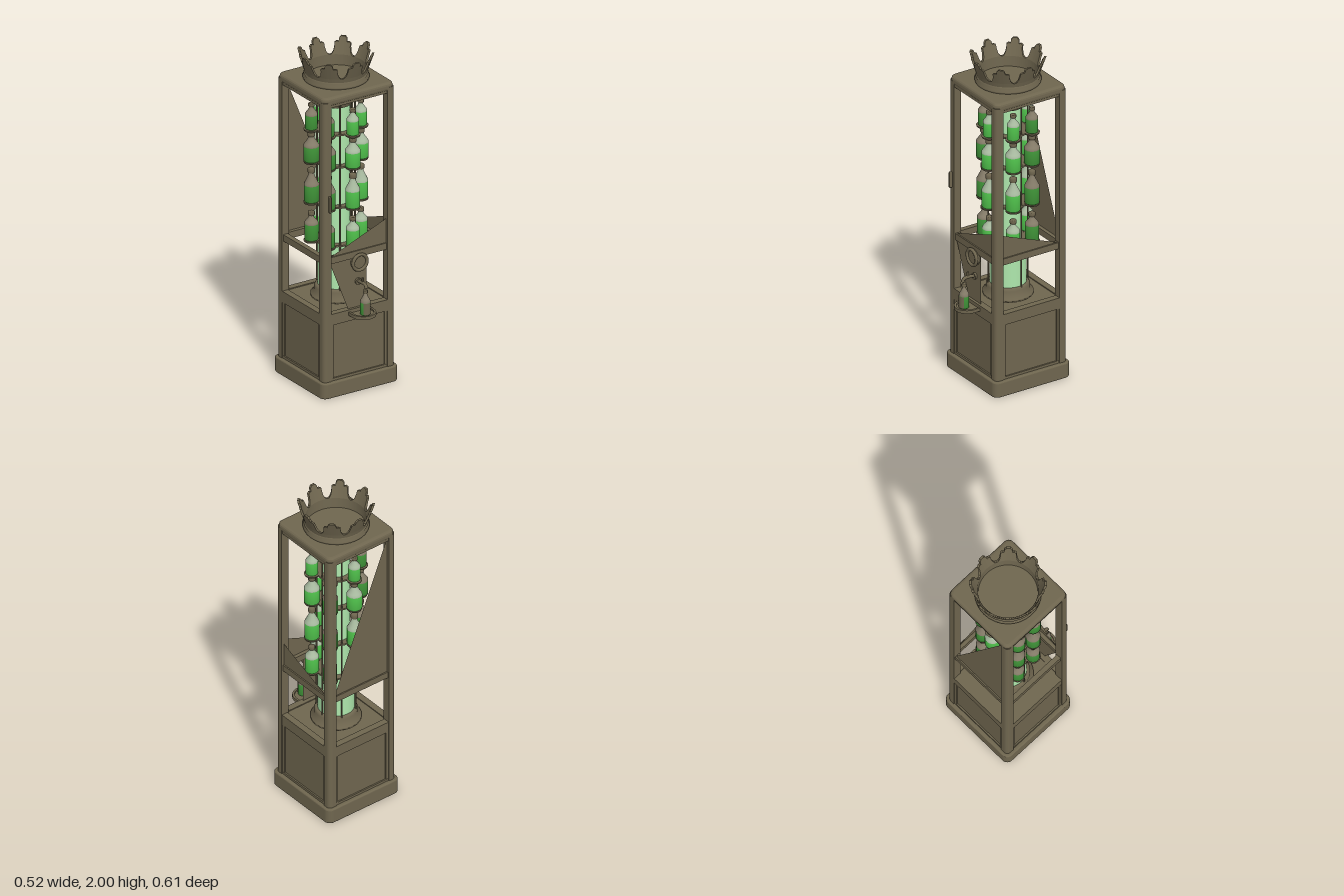
import * as THREE from 'three';
import { RoundedBoxGeometry } from 'three/addons/geometries/RoundedBoxGeometry.js';

const mat = (name, color, side = THREE.FrontSide) => {
  const m = new THREE.MeshStandardMaterial({ color, side });
  m.name = name;
  return m;
};

export function createModel() {
  const bronze = mat('dark bronze', 0x6f664f, THREE.DoubleSide);
  const glow = mat('pale green glass', 0xb2ecb0, THREE.DoubleSide);
  const brightLiquid = mat('bright green liquid', 0x4ab446);
  const darkLiquid = mat('deep green liquid', 0x3b8a34);
  const paleGlass = mat('pale bottle glass', 0xa9bba0, THREE.DoubleSide);
  const brownGlass = mat('brown grey glass', 0x857c69, THREE.DoubleSide);

  const root = new THREE.Group();
  const cabinet = new THREE.Group();
  cabinet.name = 'cabinet';
  cabinet.position.z = -0.048;
  root.add(cabinet);

  const add = (name, geo, material, x = 0, y = 0, z = 0, parent = cabinet) => {
    const m = new THREE.Mesh(geo, material);
    m.name = name;
    m.position.set(x, y, z);
    parent.add(m);
    return m;
  };
  const box = (w, h, d) => new THREE.BoxGeometry(w, h, d);
  const lathe = (pts, seg = 24) => new THREE.LatheGeometry(pts.map(p => new THREE.Vector2(...p)), seg);

  // Square slab with rounded corners, extruded upwards from y = 0
  const slab = (half, r, h, bevel) => {
    const s = new THREE.Shape(), c = half - bevel - r;
    s.absarc(c, c, r, 0, Math.PI / 2);
    s.absarc(-c, c, r, Math.PI / 2, Math.PI);
    s.absarc(-c, -c, r, Math.PI, Math.PI * 1.5);
    s.absarc(c, -c, r, Math.PI * 1.5, Math.PI * 2);
    const g = new THREE.ExtrudeGeometry(s, {
      depth: h - 2 * bevel, bevelThickness: bevel, bevelSize: bevel, bevelSegments: 3, curveSegments: 6,
    });
    return g.rotateX(-Math.PI / 2).translate(0, bevel, 0);
  };

  // Plinth, body core and roof
  add('plinth', slab(0.258, 0.03, 0.095, 0.008), bronze);
  add('bodyCore', box(0.452, 0.41, 0.452), bronze, 0, 0.295, 0);
  add('roof', slab(0.24, 0.02, 0.052, 0.018), bronze, 0, 1.785, 0);

  // Corner posts with a rounded outer edge
  const post = new THREE.Shape();
  post.moveTo(0.19, 0.19);
  post.lineTo(0.24, 0.19);
  post.lineTo(0.24, 0.215);
  post.absarc(0.215, 0.215, 0.025, 0, Math.PI / 2);
  post.lineTo(0.19, 0.24);
  post.closePath();
  const postGeo = new THREE.ExtrudeGeometry(post, { depth: 1.72, bevelEnabled: false, curveSegments: 6 })
    .rotateX(-Math.PI / 2);

  // Each side carries a post, rails and a panel border
  for (let i = 0; i < 4; i++) {
    const side = new THREE.Group();
    side.name = 'frameSide';
    side.rotation.y = i * Math.PI / 2;
    cabinet.add(side);
    add('post', postGeo, bronze, 0, 0.09, 0, side);
    add('bodyRail', box(0.38, 0.068, 0.04), bronze, 0, 0.472, 0.218, side);
    add('middleRail', box(0.4, 0.04, 0.03), bronze, 0, 0.832, 0.215, side);
    add('topRail', box(0.4, 0.02, 0.04), bronze, 0, 1.785, 0.215, side);
    add('lowerRail', box(0.38, 0.02, 0.03), bronze, 0, 0.1, 0.22, side);
    for (const s of [-1, 1])
      add('panelEdge', box(0.018, 0.35, 0.02), bronze, s * 0.183, 0.27, 0.224, side);
  }

  // Flat panes that partly fill the window openings
  const pane = (name, pts) => {
    const g = new THREE.ShapeGeometry(new THREE.Shape(pts.map(p => new THREE.Vector2(...p))));
    return add(name, g, bronze);
  };
  pane('frontPane', [[-0.19, 0.85], [0.19, 0.85], [0.19, 1.0]]).position.z = 0.222;
  pane('frontLowerPane', [[-0.19, 0.815], [-0.065, 0.5], [0.06, 0.5], [0.06, 0.815]]).position.z = 0.222;
  pane('backPane', [[-0.19, 0.85], [0.19, 0.85], [-0.19, 1.785]]).position.z = -0.222;
  const sidePane = pane('sidePane', [[-0.2, 0.85], [0.19, 0.85], [-0.2, 1.0]]);
  sidePane.rotation.y = Math.PI / 2;
  sidePane.position.x = 0.222;

  // Glowing column, wider below the middle rail, with collars and rods
  add('upperColumn', new THREE.CylinderGeometry(0.08, 0.08, 0.85, 32, 1, true), glow, 0, 1.265, 0);
  add('lowerColumn', new THREE.CylinderGeometry(0.105, 0.105, 0.28, 32, 1, true), glow, 0, 0.705, 0);
  add('columnFoot', lathe([[0, 0.5], [0.145, 0.5], [0.145, 0.515], [0.125, 0.53], [0.125, 0.56],
    [0.115, 0.575], [0.09, 0.575]]), bronze);
  add('columnHead', lathe([[0.07, 1.68], [0.088, 1.68], [0.088, 1.735], [0.118, 1.737], [0.122, 1.752],
    [0.138, 1.765], [0.145, 1.786]]), bronze);
  const rodGeo = new THREE.CylinderGeometry(0.005, 0.005, 1.2, 8);
  for (let i = 0; i < 6; i++) {
    const a = (38 + i * 60) * Math.PI / 180;
    add('columnRod', rodGeo, bronze, 0.113 * Math.sin(a), 1.145, 0.113 * Math.cos(a));
  }

  // Bottle: liquid below, glass shoulder and neck above, stopper on top
  const makeBottle = (r, h, fill, shoulder, liquid, glass) => {
    const n = r * 0.36, level = h * fill, sh = h * shoulder;
    const b = new THREE.Group();
    b.name = 'bottle';
    add('bottleLiquid', lathe([[0, 0], [r * 0.9, 0], [r, r * 0.12], [r, level], [0, level]], 16), liquid, 0, 0, 0, b);
    add('bottleGlass', lathe([[r, level], [r, sh], [r * 0.85, sh + h * 0.06], [n * 1.15, h * 0.78], [n, h * 0.88]], 16),
      glass, 0, 0, 0, b);
    add('bottleStopper', lathe([[n, h * 0.86], [n * 1.35, h * 0.87], [n * 1.35, h * 0.98], [n, h], [0, h]], 12),
      bronze, 0, 0, 0, b);
    return b;
  };

  // Four tiers of six bottles on small round shelves; some bottles are of paler glass
  const tiers = [
    [0.85, 0.04, 0.175, 0.56, 0.6],
    [1.085, 0.043, 0.205, 0.5, 0.53],
    [1.333, 0.045, 0.178, 0.52, 0.56],
    [1.532, 0.036, 0.158, 0.54, 0.58],
  ];
  const isPale = [true, true, false, true, false, false];
  for (const [y, r, h, fill, shoulder] of tiers) {
    const tier = new THREE.Group();
    tier.name = 'bottleTier';
    tier.position.y = y;
    cabinet.add(tier);
    add('tierCollar', new THREE.CylinderGeometry(0.118, 0.118, 0.01, 24), bronze, 0, -0.006, 0, tier);
    isPale.forEach((pale, i) => {
      const a = (8 + i * 60) * Math.PI / 180, x = 0.142 * Math.sin(a), z = 0.142 * Math.cos(a);
      add('bottleShelf', new THREE.CylinderGeometry(0.045, 0.042, 0.01, 16), bronze, x, -0.005, z, tier);
      const b = makeBottle(r, h, fill, shoulder, pale ? brightLiquid : darkLiquid, pale ? paleGlass : brownGlass);
      b.position.set(x, 0, z);
      tier.add(b);
    });
  }

  // Crown foot and flared band with eight stepped points
  add('crownFoot', lathe([[0.172, 1.83], [0.186, 1.835], [0.19, 1.848], [0.18, 1.858], [0.184, 1.868],
    [0.175, 1.88]], 32), bronze);
  const outline = [[-0.5, 1.9], [-0.42, 1.904], [-0.35, 1.92], [-0.31, 1.945], [-0.3, 1.965], [-0.22, 1.972],
    [-0.16, 1.968], [-0.14, 1.988], [-0.07, 2.0]];
  const profile = [...outline, ...outline.slice(1).reverse().map(([t, y]) => [-t, y])];
  const columns = [];
  for (let i = 0; i < 8; i++)
    for (const [t, top] of profile) {
      const a = (i + t) * Math.PI / 4;
      const at = (y, inset) => {
        const r = 0.174 + Math.max(0, y - 1.87) * 0.35 - inset;
        return [r * Math.sin(a), y, r * Math.cos(a)];
      };
      columns.push([at(1.86, 0), at(1.9, 0), at(top, 0), at(top, 0.013), at(1.9, 0.013), at(1.835, 0.006)]);
    }
  const verts = [];
  columns.forEach((c, j) => {
    const d = columns[(j + 1) % columns.length];
    for (let k = 0; k < 5; k++)
      verts.push(...c[k], ...d[k], ...d[k + 1], ...c[k], ...d[k + 1], ...c[k + 1]);
  });
  const crownGeo = new THREE.BufferGeometry();
  crownGeo.setAttribute('position', new THREE.Float32BufferAttribute(verts, 3));
  crownGeo.computeVertexNormals();
  add('crownBand', crownGeo, bronze);

  // Round medallion above the tap
  add('medallion', new THREE.CylinderGeometry(0.045, 0.05, 0.02, 24).rotateX(Math.PI / 2), bronze, 0, 0.785, 0.185, root);
  add('medallionRim', new THREE.TorusGeometry(0.047, 0.01, 8, 24), bronze, 0, 0.785, 0.197, root);

  // Curved tap with a lever
  const spout = new THREE.CatmullRomCurve3([[0, 0.662, 0.17], [0, 0.668, 0.22], [0, 0.665, 0.25], [0, 0.645, 0.262]]
    .map(p => new THREE.Vector3(...p)));
  add('tapSpout', new THREE.TubeGeometry(spout, 12, 0.01, 8), bronze, 0, 0, 0, root);
  add('tapFlange', new THREE.CylinderGeometry(0.02, 0.02, 0.012, 16).rotateX(Math.PI / 2), bronze, 0, 0.662, 0.18, root);
  add('tapLever', box(0.008, 0.03, 0.012), bronze, 0, 0.685, 0.225, root);

  // Round-fronted tray with a raised rim, holding one bottle
  const tray = (r, straight) => {
    const s = new THREE.Shape();
    s.moveTo(r, 0);
    s.lineTo(r, -straight);
    s.absarc(0, -straight, r, 0, -Math.PI, true);
    s.lineTo(-r, 0);
    s.closePath();
    return s;
  };
  const extrude = (s, depth) => new THREE.ExtrudeGeometry(s, { depth, bevelEnabled: false, curveSegments: 16 })
    .rotateX(-Math.PI / 2);
  add('tray', extrude(tray(0.071, 0.052), 0.012), bronze, 0, 0.473, 0.18, root);
  const rim = tray(0.073, 0.05);
  rim.holes.push(tray(0.06, 0.05));
  add('trayRim', extrude(rim, 0.02), bronze, 0, 0.473, 0.18, root);
  const served = makeBottle(0.029, 0.15, 0.5, 0.56, darkLiquid, brownGlass);
  served.position.set(0, 0.485, 0.25);
  root.add(served);
  add('bottleLabel', new THREE.CylinderGeometry(0.0305, 0.0305, 0.07, 12, 1, true, -0.95, 1.9), bronze, 0, 0.525, 0.25, root);

  // Door handle on the front post
  add('doorHandle', new RoundedBoxGeometry(0.014, 0.1, 0.02, 2, 0.005), bronze, -0.207, 1.19, 0.203, root);

  return root;
}
